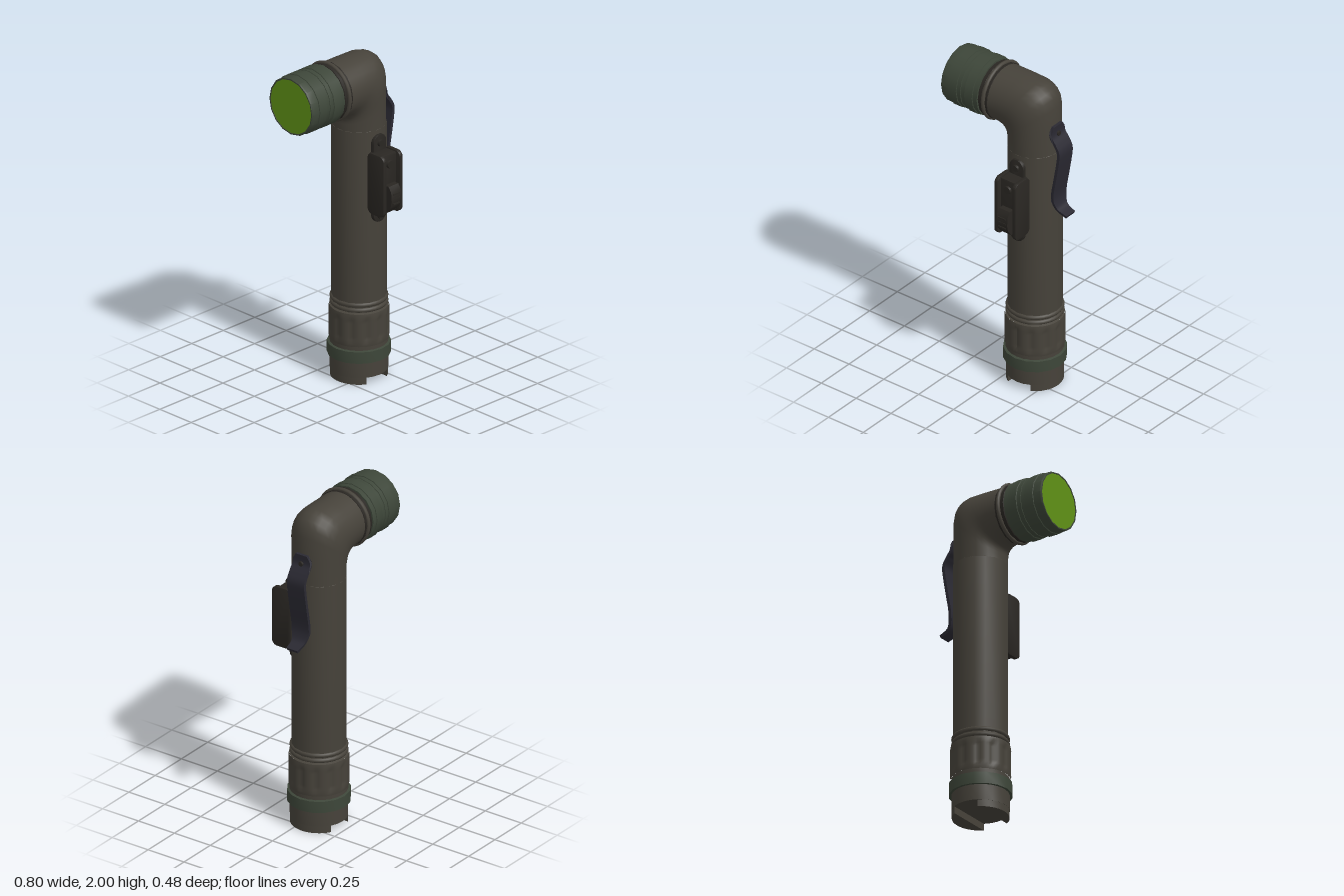
import * as THREE from 'three';
import { toCreasedNormals } from 'three/addons/utils/BufferGeometryUtils.js';

const mat = (color) => new THREE.MeshStandardMaterial({ color });
const olive = mat(0x46423a), green = mat(0x3d4639), dark = mat(0x292622);
const clipMat = mat(0x2a2932), lensMat = mat(0x5f9116);
const AX = 0.14, AZ = -0.06, HEAD_Y = 1.82;
const V2 = (p) => new THREE.Vector2(p[0], p[1]);

function add(parent, name, geo, material, x = 0, y = 0, z = 0) {
  const m = new THREE.Mesh(geo, material);
  m.name = name;
  m.position.set(x, y, z);
  parent.add(m);
  return m;
}

// Turned part from [radius, height] pairs, smooth around and sharp at steps
const turned = (pts, sides = 16) =>
  toCreasedNormals(new THREE.LatheGeometry(pts.map(V2), sides).toNonIndexed(), 0.6);

const extrude = (shape, depth, bevel = 0) => toCreasedNormals(new THREE.ExtrudeGeometry(shape, {
  depth, bevelEnabled: bevel > 0, bevelSize: bevel, bevelThickness: bevel,
  bevelOffset: -bevel, bevelSegments: 2, curveSegments: 8 }), 0.6);

function roundedRect(w, h, r) {
  const s = new THREE.Shape();
  s.absarc(w / 2 - r, h / 2 - r, r, 0, Math.PI / 2);
  s.absarc(-w / 2 + r, h / 2 - r, r, Math.PI / 2, Math.PI);
  s.absarc(-w / 2 + r, -h / 2 + r, r, Math.PI, Math.PI * 1.5);
  s.absarc(w / 2 - r, -h / 2 + r, r, Math.PI * 1.5, Math.PI * 2);
  s.closePath();
  return s;
}

// Elbow: ellipses spanned between an inner and an outer path
function elbowGeometry() {
  const rings = [ // inner x, y, outer x, y, half width
    [-0.09, 1.655, -0.09, 1.985, 0.165], [-0.055, 1.653, 0.06, 1.985, 0.166],
    [-0.035, 1.643, 0.17, 1.983, 0.166], [-0.024, 1.633, 0.215, 1.97, 0.166],
    [-0.018, 1.625, 0.25, 1.945, 0.166], [-0.015, 1.617, 0.274, 1.907, 0.165],
    [-0.013, 1.608, 0.286, 1.85, 0.163], [-0.013, 1.595, 0.29, 1.74, 0.157],
    [-0.014, 1.555, 0.294, 1.555, 0.155]];
  const N = 28, pos = [], idx = [];
  rings.forEach(([ix, iy, ox, oy, w], i) => {
    for (let j = 0; j < N; j++) {
      const t = j / N * Math.PI * 2, c = Math.cos(t) / 2;
      pos.push((ix + ox) / 2 + (ox - ix) * c, (iy + oy) / 2 + (oy - iy) * c, AZ + w * Math.sin(t));
      if (i === rings.length - 1) continue;
      const a = i * N + j, b = i * N + (j + 1) % N;
      idx.push(a, b, a + N, b, b + N, a + N);
    }
  });
  const g = new THREE.BufferGeometry();
  g.setAttribute('position', new THREE.Float32BufferAttribute(pos, 3));
  g.setIndex(idx);
  g.computeVertexNormals();
  return g;
}

// Tail grip: cylinder with shallow vertical grooves
function gripGeometry() {
  const g = new THREE.CylinderGeometry(0.172, 0.172, 0.2, 72, 10, true);
  const p = g.attributes.position;
  for (let i = 0; i < p.count; i++) {
    const a = Math.atan2(p.getZ(i), p.getX(i)), y = p.getY(i);
    const groove = Math.max(0, Math.cos(a * 12)) * (Math.abs(y) < 0.075 ? 1 : 0);
    const k = 1 - 0.055 * groove - (Math.abs(y) > 0.09 ? 0.02 : 0);
    p.setXYZ(i, p.getX(i) * k, y, p.getZ(i) * k);
  }
  g.computeVertexNormals();
  return g;
}

// Belt clip: bent strip with narrowed ends
function clipGeometry() {
  const path = [[0.3, 1.75], [0.3, 1.69], [0.33, 1.645], [0.353, 1.6], [0.35, 1.54], [0.33, 1.42],
    [0.311, 1.31], [0.313, 1.25], [0.335, 1.205], [0.393, 1.18]];
  const curve = new THREE.SplineCurve(path.map(V2));
  const L = [], R = [];
  for (let i = 0; i <= 36; i++) {
    const p = curve.getPoint(i / 36), t = curve.getTangent(i / 36);
    L.push(new THREE.Vector2(p.x - t.y * 0.009, p.y + t.x * 0.009));
    R.unshift(new THREE.Vector2(p.x + t.y * 0.009, p.y - t.x * 0.009));
  }
  const g = new THREE.ExtrudeGeometry(new THREE.Shape([...L, ...R]), { depth: 0.12, bevelEnabled: false });
  g.translate(0, 0, -0.06);
  const p = g.attributes.position;
  for (let i = 0; i < p.count; i++) {
    const y = p.getY(i);
    const end = Math.max(0, (y - 1.715) / 0.04, (1.27 - y) / 0.09);
    p.setZ(i, p.getZ(i) * (1 - 0.4 * Math.min(1, end)));
  }
  return toCreasedNormals(g, 0.6);
}

export function createModel() {
  const root = new THREE.Group();
  root.name = 'angleFlashlight';

  // Barrel and tail, around the vertical axis
  const body = new THREE.Group();
  body.name = 'body';
  body.position.set(AX, 0, AZ);
  root.add(body);
  add(body, 'barrel', turned([[0.154, 0.42], [0.157, 0.5], [0.157, 1.555], [0.15, 1.56]]), olive);
  for (const y of [0.455, 0.487]) {
    const ring = add(body, 'barrelRing', new THREE.TorusGeometry(0.152, 0.014, 8, 32), olive, 0, y);
    ring.rotation.x = Math.PI / 2;
  }
  add(body, 'tailGrip', gripGeometry(), olive, 0, 0.335);
  add(body, 'gripShoulder', turned([[0.166, 0.2], [0.166, 0.237]], 24), olive);
  add(body, 'gripTop', turned([[0.1685, 0.434], [0.15, 0.442]], 24), olive);
  add(body, 'tailRing', turned([[0.16, 0.137], [0.181, 0.137], [0.181, 0.207], [0.16, 0.213]]), green);
  add(body, 'tailCap', turned([[0, 0.042], [0.165, 0.042], [0.165, 0.14]], 24), olive);
  for (const s of [-1, 1]) { // two feet either side of the slot
    const a = Math.acos(0.08 / 0.163);
    const foot = new THREE.Shape();
    foot.absarc(0, 0, 0.163, -a, a, false);
    foot.closePath();
    const m = add(body, 'tailFoot', extrude(foot, 0.043), olive);
    m.rotation.set(-Math.PI / 2, 0, s > 0 ? 0 : Math.PI);
  }

  add(root, 'elbow', elbowGeometry(), olive);

  // Lamp head along -x: local height is distance toward the lens
  const head = new THREE.Group();
  head.name = 'head';
  head.position.set(0, HEAD_Y, AZ);
  head.rotation.z = Math.PI / 2;
  root.add(head);
  add(head, 'headNeck', turned([[0.16, 0.07], [0.17, 0.075], [0.17, 0.088], [0.165, 0.09], [0.165, 0.11],
    [0.171, 0.115], [0.171, 0.134], [0.163, 0.137], [0.163, 0.142]]), dark);
  const collar = add(head, 'headCollar', new THREE.TorusGeometry(0.169, 0.012, 8, 32), olive, 0, 0.1);
  collar.rotation.x = Math.PI / 2;
  add(head, 'lensBezel', turned([[0.16, 0.142], [0.174, 0.142], [0.174, 0.172], [0.179, 0.173], [0.179, 0.228],
    [0.174, 0.23], [0.174, 0.256], [0.17, 0.257], [0.17, 0.26], [0.174, 0.261], [0.174, 0.286],
    [0.179, 0.287], [0.179, 0.343], [0.174, 0.345], [0.174, 0.393], [0.17, 0.4], [0.163, 0.4], [0.163, 0.39]]), green);
  add(head, 'lens', new THREE.CylinderGeometry(0.164, 0.164, 0.01, 16), lensMat, 0, 0.392);

  // Switch on the front of the barrel
  const sw = new THREE.Group();
  sw.name = 'switch';
  sw.position.set(AX, 1.25, 0);
  root.add(sw);
  add(sw, 'switchPlate', extrude(roundedRect(0.1, 0.54, 0.05), 0.03, 0.004), dark, 0, 0.01, 0.075);
  add(sw, 'switchHousing', extrude(roundedRect(0.125, 0.36, 0.015), 0.09, 0.008), dark, 0, 0, 0.085);
  for (const s of [-1, 1]) {
    const guard = add(sw, 'switchGuard', extrude(roundedRect(0.13, 0.375, 0.035), 0.018, 0.003), dark,
      s * 0.064 - 0.009, 0, 0.148);
    guard.rotation.y = Math.PI / 2;
  }
  const slider = new THREE.Shape([[0.16, -0.16], [0.2, -0.16], [0.23, -0.125], [0.24, -0.085],
    [0.235, -0.03], [0.215, 0], [0.16, 0]].map(V2));
  const knob = add(sw, 'slideKnob', extrude(slider, 0.076), dark, 0.038);
  knob.rotation.y = -Math.PI / 2;
  knob.scale.z = 1;
  for (let i = 0; i < 3; i++)
    add(sw, 'knobRib', new THREE.BoxGeometry(0.05, 0.008, 0.012), dark, 0, -0.105 + i * 0.03, 0.236);
  const discs = [['signalButton', 0.026, 0.12, 0.185], ['upperScrew', 0.022, 0.228, 0.112],
    ['lowerScrew', 0.022, -0.218, 0.112]];
  for (const [name, r, y, z] of discs) {
    const d = add(sw, name, new THREE.CylinderGeometry(r * 0.85, r, 0.02, 16), dark, 0, y, z);
    d.rotation.x = Math.PI / 2;
  }

  // Belt clip on the outer side
  add(root, 'beltClip', clipGeometry(), clipMat, 0, 0, AZ);
  const rivet = add(root, 'clipRivet', new THREE.CylinderGeometry(0.014, 0.018, 0.03, 12), dark, 0.302, 1.695, AZ);
  rivet.rotation.z = -Math.PI / 2;
  return root;
}
